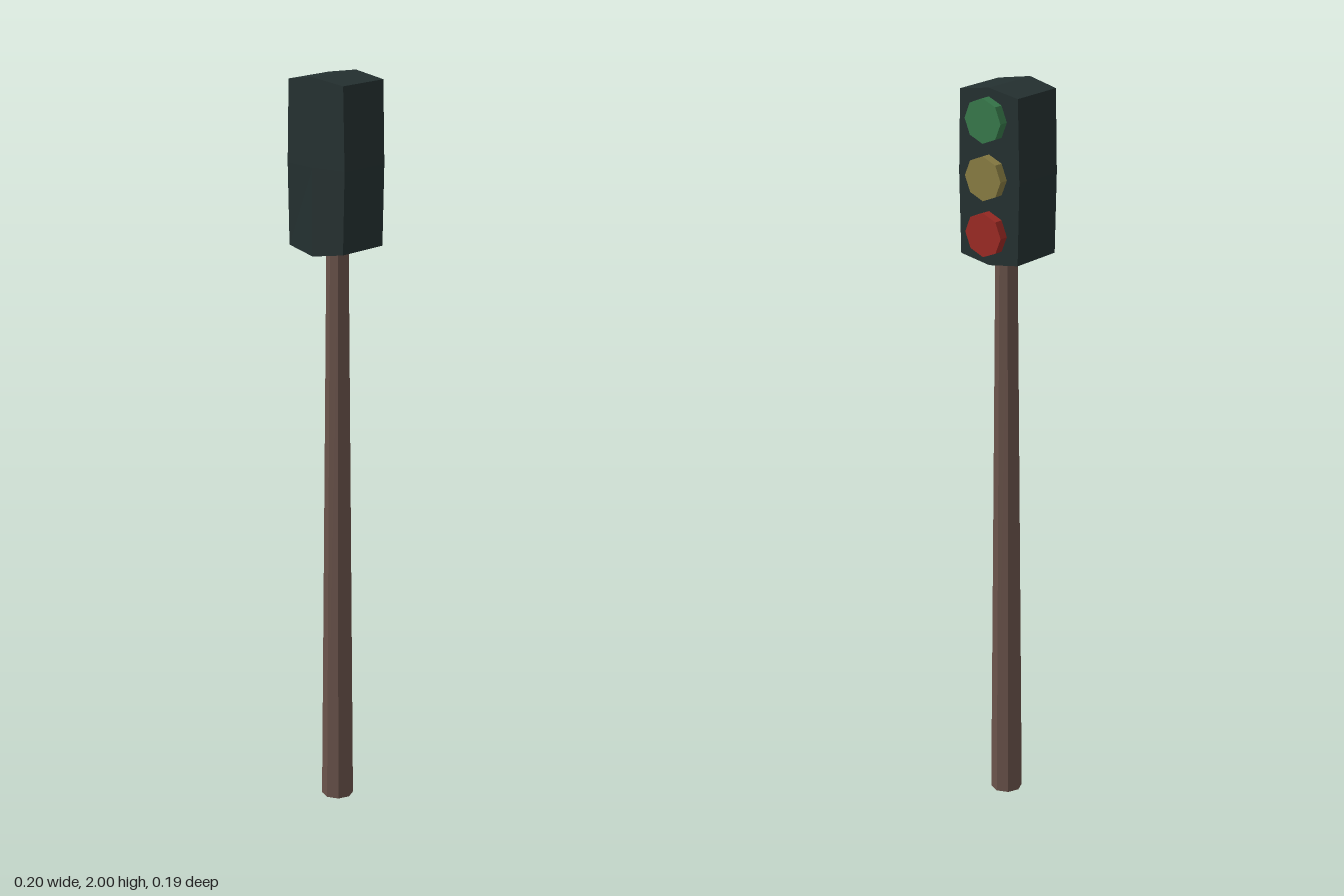
import * as THREE from 'three';

const housingMat = new THREE.MeshStandardMaterial({ color: 0x243030 });
housingMat.name = 'dark housing';
const poleMat = new THREE.MeshStandardMaterial({ color: 0x6a534b });
poleMat.name = 'brown pole';
const greenMat = new THREE.MeshStandardMaterial({ color: 0x37794b });
greenMat.name = 'green lens';
const yellowMat = new THREE.MeshStandardMaterial({ color: 0x897d43 });
yellowMat.name = 'yellow lens';
const redMat = new THREE.MeshStandardMaterial({ color: 0x9c2a24 });
redMat.name = 'red lens';

// Faceted mesh: every face gets its own flat normal
function facetedMesh(name, geometry, material) {
  const flat = geometry.toNonIndexed();
  flat.computeVertexNormals();
  const mesh = new THREE.Mesh(flat, material);
  mesh.name = name;
  return mesh;
}

// Box whose sides, top, bottom and front bulge slightly along their centre lines
function housingGeometry() {
  const geometry = new THREE.BoxGeometry(2, 2, 2, 2, 2, 1);
  const p = geometry.attributes.position;
  for (let i = 0; i < p.count; i++) {
    const x = p.getX(i), y = p.getY(i), z = p.getZ(i);
    p.setXYZ(
      i,
      x * (y === 0 ? 0.098 : 0.093),
      1.77 + y * (x === 0 ? 0.23 : 0.215),
      z < 0 ? -0.07 : x === 0 ? 0.095 : 0.082
    );
  }
  return geometry;
}

export function createModel() {
  const model = new THREE.Group();
  model.name = 'trafficLight';

  // Tapered pole
  const pole = facetedMesh('pole', new THREE.CylinderGeometry(0.029, 0.043, 1.56, 8), poleMat);
  pole.position.y = 0.78;
  model.add(pole);

  // Signal housing
  model.add(facetedMesh('housing', housingGeometry(), housingMat));

  // Octagonal lenses on the back face
  const lenses = [
    ['greenLens', 1.92, greenMat],
    ['yellowLens', 1.772, yellowMat],
    ['redLens', 1.625, redMat],
  ];
  for (const [name, y, material] of lenses) {
    const geometry = new THREE.CylinderGeometry(0.058, 0.058, 0.03, 8).rotateX(-Math.PI / 2);
    const lens = facetedMesh(name, geometry, material);
    lens.position.set(0, y, -0.08);
    model.add(lens);
  }

  return model;
}
